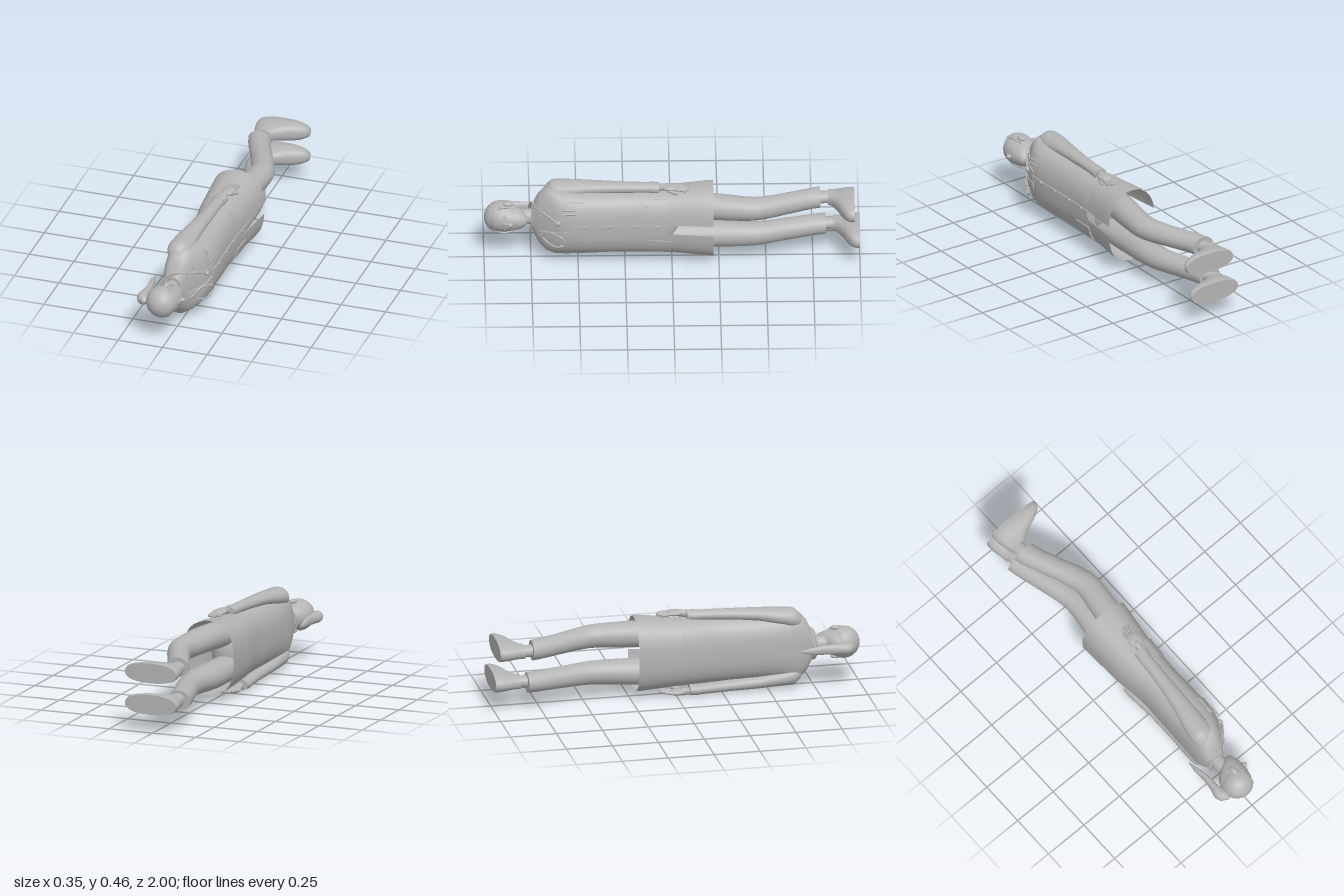
import * as THREE from 'three';

const CY = 0.24; // sideways middle of the body; head points to +z, chest to +x

// Resample sections [z, cx, cy, rx, ry] into a smooth run of rings
function smooth(secs, sub) {
  const out = [], at = i => secs[Math.max(0, Math.min(secs.length - 1, i))];
  for (let i = 0; i < secs.length - 1; i++) {
    for (let k = 0; k < sub; k++) {
      const t = k / sub;
      out.push(secs[i].map((b, c) => {
        const a = at(i - 1)[c], d = at(i + 1)[c], e = at(i + 2)[c];
        if (c === 0) return b + (d - b) * t;
        return 0.5 * (2 * b + (d - a) * t + (2 * a - 5 * b + 4 * d - e) * t * t + (3 * b - a - 3 * d + e) * t ** 3);
      }));
    }
  }
  out.push(secs[secs.length - 1]);
  return out;
}

const spow = (v, p) => Math.sign(v) * Math.abs(v) ** p;

// Skin over rings with ascending z; a0..a1 limits the arc, flip turns it inside out
function loft(secs, { n = 32, sub = 4, p = 1, a0 = 0, a1 = Math.PI * 2, flip = false, caps = true } = {}) {
  const rings = smooth(secs, sub), pos = [], idx = [];
  const closed = a1 - a0 > 6.28, cols = closed ? n : n + 1;
  const pt = (r, j) => {
    const t = a0 + (a1 - a0) * j / n;
    return [r[1] + r[3] * spow(Math.cos(t), p), r[2] + r[4] * spow(Math.sin(t), p), r[0]];
  };
  const tri = (a, b, c) => flip ? idx.push(a, c, b) : idx.push(a, b, c);
  rings.forEach(r => { for (let j = 0; j < cols; j++) pos.push(...pt(r, j)); });
  for (let i = 0; i < rings.length - 1; i++) {
    for (let j = 0; j < n; j++) {
      const a = i * cols + j, b = i * cols + (j + 1) % cols;
      tri(a, b, b + cols);
      tri(a, b + cols, a + cols);
    }
  }
  if (closed && caps) {
    [rings[0], rings[rings.length - 1]].forEach((r, end) => {
      const c = pos.length / 3;
      pos.push(r[1], r[2], r[0]);
      for (let j = 0; j < n; j++) pos.push(...pt(r, j));
      for (let j = 0; j < n; j++) {
        const a = c + 1 + j, b = c + 1 + (j + 1) % n;
        end ? tri(c, a, b) : tri(c, b, a);
      }
    });
  }
  const g = new THREE.BufferGeometry();
  g.setAttribute('position', new THREE.Float32BufferAttribute(pos, 3));
  g.setIndex(idx);
  g.computeVertexNormals();
  return g;
}

const P = 0.8; // squareness of the coat
const skirt = [[-0.22, 0.012, 0.247, 0.15, 0.205], [-0.1, 0.008, 0.245, 0.14, 0.195], [0.02, 0.004, 0.243, 0.13, 0.185]];
const torso = [skirt[2], [0.2, 0.012, CY, 0.114, 0.178], [0.35, 0.013, CY, 0.115, 0.176], [0.5, 0.012, CY, 0.116, 0.178],
  [0.6, 0.003, CY, 0.108, 0.186], [0.66, -0.012, CY, 0.09, 0.188], [0.71, -0.022, CY, 0.07, 0.14], [0.75, -0.03, CY, 0.048, 0.06]];
const coatRings = smooth([...skirt, ...torso.slice(1)], 4);

// Height of the coat's front at a given place
function coatX(y, z) {
  let i = 0;
  while (i < coatRings.length - 2 && coatRings[i + 1][0] < z) i++;
  const a = coatRings[i], b = coatRings[i + 1], t = (z - a[0]) / (b[0] - a[0]);
  const [, cx, cy, rx, ry] = a.map((v, c) => v + (b[c] - v) * t);
  const s = Math.min(1, Math.abs((y - cy) / ry) ** (1 / P));
  return cx + rx * Math.max(0, 1 - s * s) ** (P / 2);
}

// Cloth plate that follows the coat's front; skew leans it sideways
function patch(y, z, w, h, thick = 0.008, skew = 0) {
  const g = new THREE.BoxGeometry(thick, w, h, 1, 6, 12), q = g.attributes.position;
  for (let i = 0; i < q.count; i++) {
    const zz = z + q.getZ(i), yy = y + q.getY(i) + skew * q.getZ(i);
    q.setXYZ(i, coatX(yy, zz) + q.getX(i) + 0.002, yy, zz);
  }
  g.computeVertexNormals();
  return g;
}

const ball = (x, y, z, sx, sy, sz) => new THREE.SphereGeometry(1, 24, 16).scale(sx, sy, sz).translate(x, y, z);
const tube = (pts, r, closed = false) => new THREE.TubeGeometry(
  new THREE.CatmullRomCurve3(pts.map(p => new THREE.Vector3(...p)), closed), 40, r, 8, closed);

// Rounded rod between two points
function rod(a, b, r) {
  const A = new THREE.Vector3(...a), B = new THREE.Vector3(...b), d = B.clone().sub(A);
  const q = new THREE.Quaternion().setFromUnitVectors(new THREE.Vector3(0, 1, 0), d.clone().normalize());
  const m = A.add(B).multiplyScalar(0.5);
  return new THREE.CapsuleGeometry(r, d.length(), 4, 10).applyQuaternion(q).translate(m.x, m.y, m.z);
}

export function createModel() {
  const group = new THREE.Group();
  const grey = new THREE.MeshStandardMaterial({ color: 0xb4b4b4 });
  grey.name = 'grey';
  const add = (name, geometry) => {
    const m = new THREE.Mesh(geometry, grey);
    m.name = name;
    group.add(m);
  };

  // Head, hair and face
  add('head', loft([[0.768, 0.012, CY, 0.018, 0.018], [0.782, 0.004, CY, 0.04, 0.036], [0.81, -0.008, CY, 0.06, 0.056],
    [0.85, -0.022, CY, 0.08, 0.069], [0.9, -0.029, CY, 0.085, 0.079], [0.945, -0.031, CY, 0.076, 0.074],
    [0.98, -0.031, CY, 0.047, 0.046], [0.995, -0.031, CY, 0.008, 0.008]]));
  add('hair', new THREE.SphereGeometry(0.0865, 40, 24, 0, Math.PI * 2, 0, 1.75)
    .rotateX(Math.PI / 2).rotateY(-0.85).translate(-0.03, CY, 0.9135));
  add('ponytail', loft([[0.665, -0.15, CY, 0.003, 0.008], [0.72, -0.147, CY, 0.013, 0.02], [0.79, -0.139, CY, 0.017, 0.026],
    [0.85, -0.141, CY, 0.022, 0.028], [0.9, -0.141, CY, 0.034, 0.031], [0.935, -0.134, CY, 0.03, 0.026], [0.955, -0.125, CY, 0.008, 0.008]]));
  add('neck', loft([[0.68, -0.03, CY, 0.05, 0.055], [0.74, -0.03, CY, 0.04, 0.043], [0.84, -0.03, CY, 0.042, 0.042]]));
  add('nose', ball(0.062, CY, 0.862, 0.018, 0.011, 0.014));
  add('noseBridge', rod([0.062, CY, 0.867], [0.05, CY, 0.9], 0.007));
  add('upperLip', ball(0.046, CY, 0.83, 0.012, 0.02, 0.005));
  add('lowerLip', ball(0.042, CY, 0.821, 0.012, 0.016, 0.006));
  for (const s of [-1, 1]) {
    add('eye', ball(0.042, CY + s * 0.032, 0.89, 0.009, 0.014, 0.007));
    add('eyebrow', rod([0.05, CY + s * 0.02, 0.911], [0.036, CY + s * 0.045, 0.912], 0.003));
    add('ear', ball(-0.02, CY + s * 0.081, 0.872, 0.017, 0.012, 0.028));
    add('hairLock', tube([[0.01, CY + s * 0.07, 0.93], [0.012, CY + s * 0.076, 0.89], [0.0, CY + s * 0.07, 0.835]], 0.005));
  }

  // Coat: closed upper body and skirt open at the front, with a lining at the sides
  add('coatBody', loft(torso, { n: 56, p: P }));
  add('coatSkirt', loft(skirt, { n: 56, p: P, a0: 0.09, a1: Math.PI * 2 - 0.09 }));
  const inner = skirt.map(([z, x, y, rx, ry]) => [z, x, y, rx - 0.006, ry - 0.006]);
  add('liningLeft', loft(inner, { n: 24, p: P, a0: 0.09, a1: 2.9, flip: true }));
  add('liningRight', loft(inner, { n: 24, p: P, a0: Math.PI * 2 - 2.9, a1: Math.PI * 2 - 0.09, flip: true }));
  add('placket', patch(0.252, 0.285, 0.034, 0.53));
  for (const s of [-1, 1]) {
    add('lapel', patch(CY + s * 0.048, 0.63, 0.042, 0.17, 0.01, s * 0.2));
    add('lapelNotch', patch(CY + s * 0.08, 0.655, 0.04, 0.045, 0.01, s * 0.3));
  }
  add('collar', tube([[0.035, CY - 0.05, 0.7], [-0.03, CY - 0.075, 0.735], [-0.075, CY, 0.745],
    [-0.03, CY + 0.075, 0.735], [0.035, CY + 0.05, 0.7]], 0.014));
  for (const z of [0.08, 0.2, 0.33, 0.46]) {
    add('button', ball(coatX(0.262, z) + 0.007, 0.262, z, 0.005, 0.008, 0.008));
  }

  // Pockets and pens
  add('chestPocket', patch(0.352, 0.51, 0.075, 0.1, 0.01));
  add('pocketFlap', patch(0.352, 0.55, 0.08, 0.025, 0.018));
  for (const y of [0.335, 0.355]) {
    const x = coatX(y, 0.55) + 0.012;
    add('pen', rod([x, y, 0.52], [x - 0.002, y, 0.578], 0.005));
  }
  add('leftPocket', patch(0.365, 0.08, 0.075, 0.11, 0.01));
  add('rightPocket', patch(0.137, 0.07, 0.075, 0.13, 0.01));

  // Stethoscope
  const on = (y, z, lift = 0.012) => [coatX(y, z) + lift, y, z];
  add('neckTube', tube([on(0.28, 0.61), on(0.305, 0.66), [0.03, 0.318, 0.715], [-0.04, 0.32, 0.748], [-0.09, CY, 0.758],
    [-0.04, 0.16, 0.748], [0.03, 0.165, 0.715], on(0.175, 0.69)], 0.006));
  add('chestPiece', ball(...on(0.278, 0.608), 0.012, 0.016, 0.016));
  add('earTubes', tube([on(0.175, 0.69), on(0.21, 0.65, 0.016), on(0.205, 0.6, 0.024),
    on(0.165, 0.565, 0.024), on(0.135, 0.6, 0.024), on(0.142, 0.66, 0.016)], 0.005, true));
  for (const y of [0.2, 0.145]) add('earTip', ball(...on(y, 0.59, 0.024), 0.008, 0.008, 0.01));

  // Arms and hands; the right arm hangs further back
  for (const s of [1, -1]) {
    const side = s > 0 ? 'left' : 'right';
    const back = z => s > 0 ? 0 : -0.08 * Math.max(0, Math.min(1, (0.6 - z) / 0.5));
    const sec = ([z, x, y, rx, ry]) => [z, x + back(z), CY + s * (y - CY), rx, ry];
    add(side + 'Sleeve', loft([[0.07, 0.018, 0.437, 0.032, 0.026], [0.13, 0.012, 0.436, 0.034, 0.027], [0.28, 0.002, 0.433, 0.038, 0.03],
      [0.45, -0.014, 0.426, 0.05, 0.036], [0.58, -0.028, 0.41, 0.064, 0.048], [0.64, -0.034, 0.4, 0.06, 0.053],
      [0.675, -0.036, 0.385, 0.038, 0.035], [0.685, -0.036, 0.375, 0.01, 0.01]].map(sec)));
    add(side + 'Cuff', loft([[0.068, 0.019, 0.437, 0.036, 0.029], [0.12, 0.014, 0.437, 0.037, 0.029]].map(sec), { sub: 1 }));
    const hx = 0.035 + back(0), hy = CY + s * 0.21;
    add(side + 'Wrist', rod([hx - 0.012, CY + s * 0.2, 0.09], [hx - 0.004, hy, 0.03], 0.02));
    add(side + 'Palm', ball(hx, hy, 0.005, 0.036, 0.016, 0.05));
    for (let i = 0; i < 4; i++) {
      const fx = hx - 0.024 + i * 0.017, tip = [-0.06, -0.078, -0.082, -0.072][i];
      add(side + 'Finger', rod([fx, hy, -0.02], [fx + 0.004, hy - s * 0.006, tip], 0.0085));
    }
    add(side + 'Thumb', rod([hx + 0.02, hy - s * 0.01, 0.02], [hx + 0.038, hy - s * 0.018, -0.02], 0.01));
  }

  // Hips and trouser legs: the left knee is bent forwards
  add('hips', ball(0.01, CY, 0.06, 0.09, 0.15, 0.1));
  add('leftTrouserLeg', loft([[-0.79, -0.055, 0.33, 0.064, 0.054], [-0.62, 0.01, 0.332, 0.064, 0.056], [-0.49, 0.062, 0.335, 0.066, 0.06],
    [-0.42, 0.076, 0.337, 0.067, 0.063], [-0.34, 0.068, 0.338, 0.071, 0.067], [-0.2, 0.05, 0.341, 0.076, 0.071], [0.03, 0.02, 0.335, 0.08, 0.07]]));
  add('rightTrouserLeg', loft([[-0.82, -0.077, 0.157, 0.064, 0.054], [-0.64, -0.032, 0.155, 0.063, 0.057], [-0.45, 0.016, 0.152, 0.066, 0.063],
    [-0.2, 0.002, 0.147, 0.078, 0.072], [0.03, 0.0, 0.148, 0.08, 0.07]]));

  // Ankles and shoes
  for (const [side, y, z, dx] of [['left', 0.328, -0.972, 0.012], ['right', 0.163, -1, 0]]) {
    add(side + 'Ankle', loft([[z + 0.08, -0.075 + dx, y, 0.042, 0.033], [z + 0.13, -0.073 + dx, y, 0.037, 0.031],
      [z + 0.24, -0.066 + dx, y, 0.042, 0.036]]));
    add(side + 'Sole', loft([[z, 0.012 + dx, y, 0.148, 0.054], [z + 0.02, 0.013 + dx, y, 0.152, 0.057]], { sub: 1, p: 0.85 }));
    add(side + 'Shoe', loft([[z + 0.02, 0.012 + dx, y, 0.15, 0.055], [z + 0.045, 0.005 + dx, y, 0.142, 0.053],
      [z + 0.07, -0.014 + dx, y, 0.118, 0.048], [z + 0.09, -0.038 + dx, y, 0.09, 0.042],
      [z + 0.115, -0.06 + dx, y, 0.062, 0.038], [z + 0.14, -0.071 + dx, y, 0.048, 0.037]], { p: 0.85 }));
  }
  return group;
}
